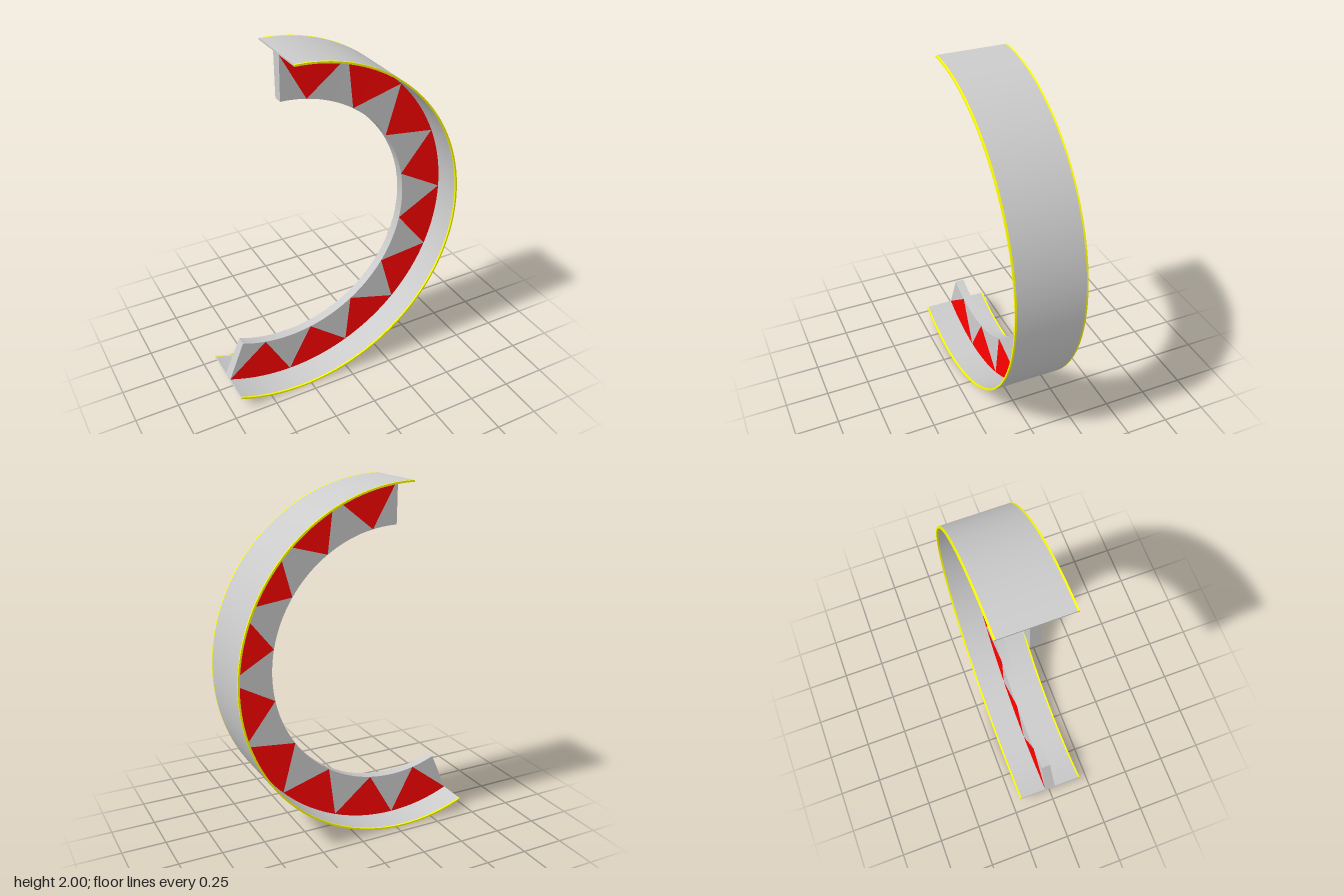
import * as THREE from 'three';

const STEP = Math.PI / 8, COUNT = 9;           // nine bays of 22.5 degrees
const START = -Math.PI / 2 - STEP, LENGTH = COUNT * STEP;
const OUT = 1, SKIN = 0.99, IN = 0.745;        // radii
const HALF = 0.2, LIP = 0.19;                  // band half width, start of the edge trim
const Z_IN = 0.027, Z_OUT = 0.032;             // web half thickness

const material = (color) => new THREE.MeshStandardMaterial({ color, side: THREE.DoubleSide });
const grey = material(0xcccccc), red = material(0xff0000), yellow = material(0xffff00);

export function createModel() {
  const group = new THREE.Group();
  group.position.set(-0.31, 1, 0);
  const root = new THREE.Group();
  root.add(group);

  const add = (name, geometry, mat) => {
    const mesh = new THREE.Mesh(geometry, mat);
    mesh.name = name;
    group.add(mesh);
  };

  // Sweep a straight (radius, z) line along the arc
  const sweep = (name, a, b, mat) => {
    const points = [new THREE.Vector2(...a), new THREE.Vector2(...b)];
    const geometry = new THREE.LatheGeometry(points, COUNT * 10, START + Math.PI / 2, LENGTH);
    add(name, geometry.rotateX(Math.PI / 2), mat);
  };

  // Flat section closing one end of the arc
  const cap = (name, profile, angle) => {
    const shape = new THREE.Shape(profile.map((p) => new THREE.Vector2(...p)));
    add(name, new THREE.ShapeGeometry(shape).rotateX(Math.PI / 2).rotateZ(angle), grey);
  };

  // Triangle with one curved side, on the front (side 1) or back (side -1) of the web
  const fan = (name, apexR, apexAngle, arcR, from, to, side, mat) => {
    const n = 8, position = [], index = [];
    const point = (r, angle) => position.push(r * Math.cos(angle), r * Math.sin(angle),
      side * (r === IN ? Z_IN : Z_OUT));
    point(apexR, apexAngle);
    for (let i = 0; i <= n; i++) point(arcR, from + (to - from) * i / n);
    const ccw = (arcR > apexR) === (side > 0);
    for (let i = 1; i <= n; i++) index.push(0, ...(ccw ? [i, i + 1] : [i + 1, i]));
    const geometry = new THREE.BufferGeometry();
    geometry.setAttribute('position', new THREE.Float32BufferAttribute(position, 3));
    geometry.setIndex(index);
    geometry.computeVertexNormals();
    add(name, geometry, mat);
  };

  // Wide outer band with yellow trimmed edges
  sweep('bandOuter', [OUT, -LIP], [OUT, LIP], grey);
  sweep('bandInner', [SKIN, LIP], [SKIN, -LIP], grey);
  for (const s of [1, -1]) {
    const ordered = (a, b) => (s > 0 ? [a, b] : [b, a]);
    sweep('edgeTrimOuter', ...ordered([OUT, s * LIP], [OUT, s * HALF]), yellow);
    sweep('edgeTrimSide', ...ordered([OUT, s * HALF], [SKIN, s * HALF]), yellow);
    sweep('edgeTrimInner', ...ordered([SKIN, s * HALF], [SKIN, s * LIP]), yellow);
  }

  // Inner rim of the web
  sweep('webRim', [IN, Z_IN], [IN, -Z_IN], grey);

  // End caps
  for (const angle of [START, START + LENGTH]) {
    cap('bandEnd', [[SKIN, -HALF], [OUT, -HALF], [OUT, HALF], [SKIN, HALF]], angle);
    cap('webEnd', [[IN, -Z_IN], [SKIN, -Z_OUT], [SKIN, Z_OUT], [IN, Z_IN]], angle);
  }

  // Web faces: red teeth pointing inward, grey teeth pointing outward
  for (const side of [1, -1]) {
    for (let i = 0; i <= COUNT; i++) {
      const a = START + i * STEP;
      if (i < COUNT) fan('redTooth', IN, a + STEP / 2, SKIN, a, a + STEP, side, red);
      const from = i === 0 ? a : a - STEP / 2, to = i === COUNT ? a : a + STEP / 2;
      fan('greyTooth', SKIN, a, IN, from, to, side, grey);
    }
  }
  return root;
}
